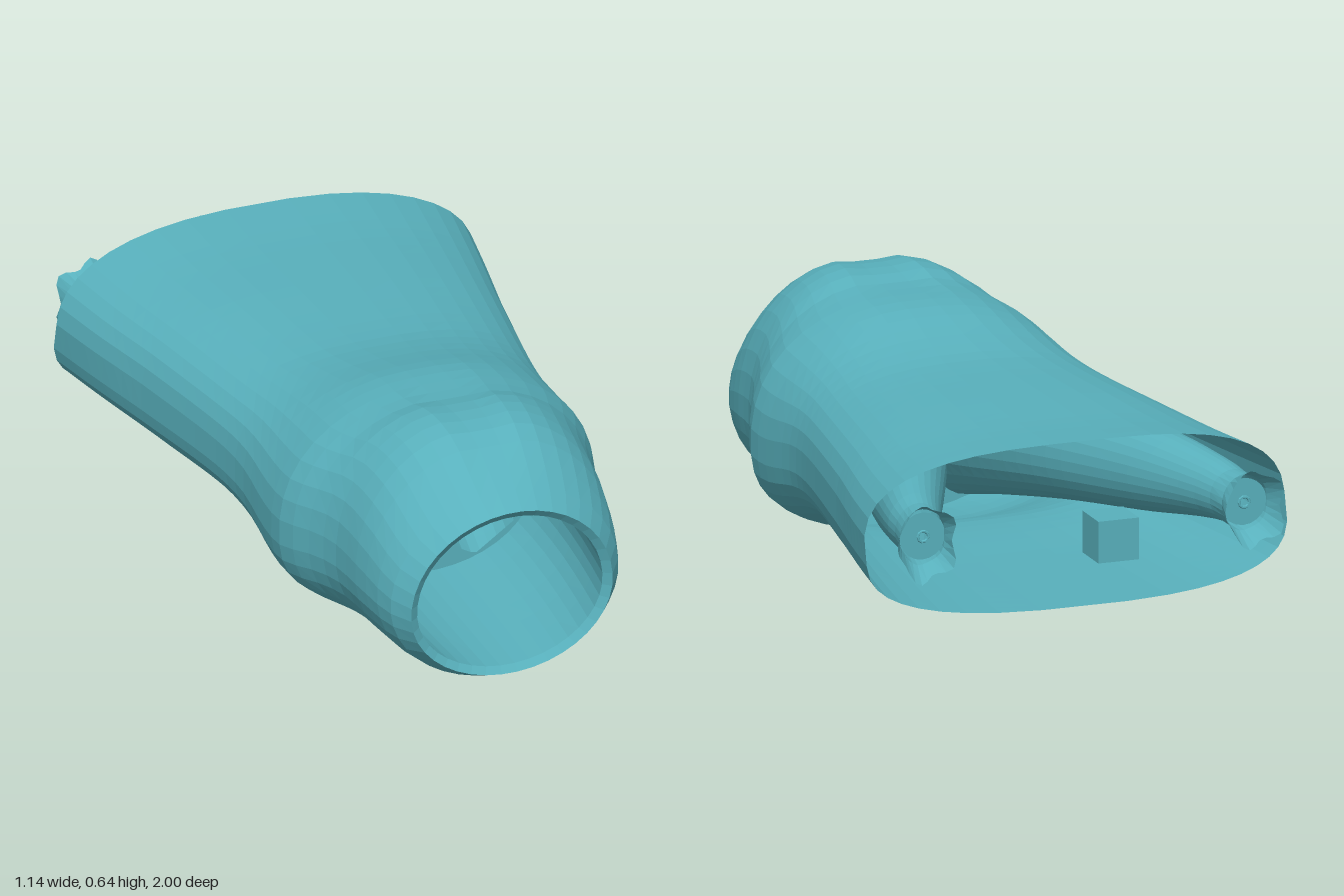
import * as THREE from 'three';

const teal = new THREE.MeshStandardMaterial({ color: 0x58b0bc, flatShading: true, side: THREE.DoubleSide });
teal.name = 'teal';

// Skin a list of closed rings (arrays of [x, y, z]) into one surface.
function loft(rings) {
  const n = rings[0].length, index = [];
  for (let i = 0; i < rings.length - 1; i++) {
    for (let j = 0; j < n; j++) {
      const a = i * n + j, b = i * n + (j + 1) % n;
      index.push(a, b, a + n, b, b + n, a + n);
    }
  }
  const g = new THREE.BufferGeometry();
  g.setAttribute('position', new THREE.Float32BufferAttribute(rings.flat(2), 3));
  g.setIndex(index);
  g.computeVertexNormals();
  return g;
}

// Smoothly (0) interpolate rows keyed by their first entry, which decreases.
function sample(rows, z) {
  let i = 0;
  while (i < rows.length - 2 && z < rows[i + 1][0]) i++;
  const p = rows[i], q = rows[i + 1], o = rows[Math.max(i - 1, 0)], r = rows[Math.min(i + 2, rows.length - 1)];
  const h = q[0] - p[0], t = (z - p[0]) / h;
  return p.map((v, k) => {
    const m0 = i > 0 ? (q[k] - o[k]) / (q[0] - o[0]) : (q[k] - v) / h;
    const m1 = r !== q ? (r[k] - v) / (r[0] - p[0]) : (q[k] - v) / h;
    const t2 = t * t, t3 = t2 * t;
    return (2 * t3 - 3 * t2 + 1) * v + (t3 - 2 * t2 + t) * h * m0 + (3 * t2 - 2 * t3) * q[k] + (t3 - t2) * h * m1;
  });
}

function ellipseRing(x, y, z, rx, ry, n = 28) {
  return Array.from({ length: n }, (_, j) => {
    const a = j / n * Math.PI * 2;
    return [x + rx * Math.cos(a), y + ry * Math.sin(a), z];
  });
}

// z, half width, top, bottom, height of widest point, roundness above, below, dip on the midline
const BODY = [
  [0.98, 0.275, 0.50, 0.03, 0.25, 2, 2, 0],
  [0.92, 0.315, 0.545, 0.006, 0.26, 2, 2, 0.004],
  [0.80, 0.342, 0.64, 0.012, 0.28, 2.1, 2.1, 0.02],
  [0.66, 0.36, 0.66, 0.018, 0.29, 2.2, 2.2, 0.025],
  [0.56, 0.395, 0.637, 0.025, 0.29, 2.2, 2.4, 0.015],
  [0.48, 0.428, 0.63, 0.032, 0.28, 2.2, 2.6, 0.008],
  [0.37, 0.43, 0.62, 0.045, 0.28, 2.2, 2.7, 0.003],
  [0.20, 0.425, 0.58, 0.10, 0.31, 2.4, 2.9, 0],
  [0.05, 0.44, 0.558, 0.135, 0.32, 2.6, 3.1, 0],
  [-0.30, 0.497, 0.556, 0.135, 0.32, 2.7, 3.2, 0],
  [-0.55, 0.54, 0.556, 0.135, 0.32, 2.7, 3.2, 0],
  [-0.76, 0.572, 0.565, 0.135, 0.32, 2.7, 3.2, 0],
];

function bodyRing(zc) {
  const [, w, top, bottom, mid, nTop, nBottom, dip] = sample(BODY, zc);
  const back = Math.max(0, (-zc - 0.3) / 0.46), front = Math.max(0, (zc - 0.8) / 0.18);
  return Array.from({ length: 40 }, (_, j) => {
    const a = (j + 0.5) / 40 * Math.PI * 2, c = Math.cos(a), s = Math.sin(a);
    const e = 2 / (s > 0 ? nTop : nBottom);
    const x = w * Math.sign(c) * Math.abs(c) ** e;
    let y = mid + (s > 0 ? top - mid : bottom - mid) * Math.abs(s) ** e;
    if (s > 0) y -= dip * Math.exp(-((x / 0.07) ** 2));
    // The back rim is cut away at the sides; the front rim leans a little.
    const z = zc + back * (0.06 * (x / w) ** 2 + (s > 0 ? 0.01 : -0.008)) + front * (y - 0.25) * 0.07;
    return [x, y, z];
  });
}

// One branch passage: z, centre x, centre y, radius x, radius y
const PASSAGE = [
  [0.42, 0.14, 0.27, 0.118, 0.175],
  [0.20, 0.17, 0.30, 0.125, 0.15],
  [-0.10, 0.24, 0.34, 0.12, 0.13],
  [-0.40, 0.34, 0.36, 0.10, 0.11],
  [-0.62, 0.41, 0.365, 0.075, 0.08],
  [-0.74, 0.435, 0.36, 0.06, 0.07],
  [-0.81, 0.445, 0.355, 0.078, 0.098],
];

export function createModel() {
  const model = new THREE.Group();
  const add = (name, geometry, x = 0, y = 0, z = 0, parent = model) => {
    const m = new THREE.Mesh(geometry, teal);
    m.name = name;
    m.position.set(x, y, z);
    parent.add(m);
    return m;
  };
  const cube = (name, size, x, y, z) => add(name, new THREE.BoxGeometry(size, size, size), x, y, z);

  // Outer shell, open at both ends
  const shell = [];
  for (let i = 0; i <= 34; i++) shell.push(bodyRing(0.98 - 1.74 * i / 34));
  add('outerShell', loft(shell));

  // Front lip turning inwards, then the round throat
  const lip = bodyRing(0.98);
  const inner = lip.map(([x, y, z]) => [x * 0.92, 0.255 + (y - 0.255) * 0.92, z - 0.015]);
  add('frontLip', loft([lip, inner]));
  const throat = [inner];
  for (let i = 1; i <= 6; i++) {
    const t = i / 6;
    throat.push(inner.map(([x, y, z]) => [
      x * (1 + 0.13 * Math.sin(t * 2)),
      0.255 + (y - 0.255) * (1 - 0.02 * t) + 0.015 * t,
      z + (0.42 - z) * t,
    ]));
  }
  add('throat', loft(throat));

  // Wall at the end of the throat, leaving a flared septum between two openings
  const wall = new THREE.Shape(throat[6].map(([x, y]) => new THREE.Vector2(x, y)));
  for (const side of [-1, 1]) {
    const hole = ellipseRing(side * 0.14, 0.27, 0, 0.118, 0.175);
    wall.holes.push(new THREE.Path(hole.map(([x, y]) => new THREE.Vector2(x, y))));
  }
  add('septumWall', new THREE.ShapeGeometry(wall), 0, 0, 0.42);

  // Paired passages running back to flared, ragged ends
  for (const side of [-1, 1]) {
    const branch = new THREE.Group();
    branch.name = side > 0 ? 'leftPassage' : 'rightPassage';
    model.add(branch);
    const rings = [];
    for (let i = 0; i <= 22; i++) {
      const z = 0.42 - 1.23 * i / 22;
      const [, x, y, rx, ry] = sample(PASSAGE, z);
      const ring = ellipseRing(side * x, y, z, rx, ry);
      const flare = Math.max(0, (-z - 0.74) / 0.07);
      rings.push(ring.map(([px, py, pz], j) => {
        const wave = Math.cos(j / 28 * Math.PI * 10), k = 1 + 0.1 * flare * wave;
        return [side * x + (px - side * x) * k, y + (py - y) * k, pz - 0.012 * flare * wave];
      }));
    }
    add('passageTube', loft(rings), 0, 0, 0, branch);
    add('endDisc', new THREE.RingGeometry(0.012, 0.062, 20), side * 0.436, 0.36, -0.75, branch);
    const rim = new THREE.TorusGeometry(0.014, 0.004, 6, 10);
    add('endHoleRim', rim, side * 0.436, 0.36, -0.755, branch);
  }

  // Marker cubes: one behind, small ones inside the throat
  cube('rearCube', 0.11, 0, 0.37, -0.945);
  for (const side of [-1, 1]) cube('sideMarker', 0.02, side * 0.205, 0.345, 0.5);
  cube('upperMarker', 0.02, 0, 0.385, 0.44);
  cube('lowerMarker', 0.02, 0, 0.34, 0.44);

  return model;
}
